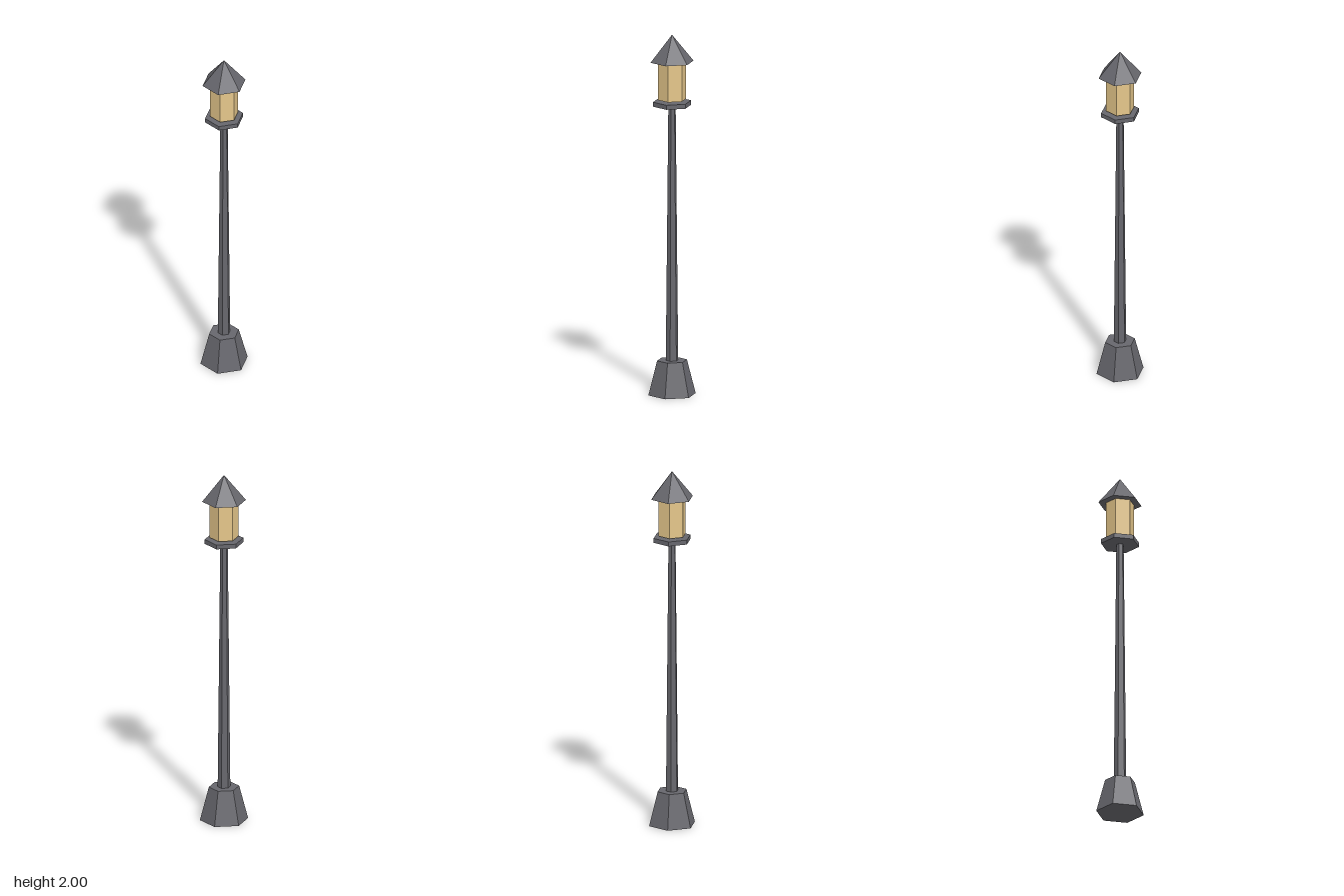
import * as THREE from 'three';

const iron = new THREE.MeshStandardMaterial({ color: 0x67676d, flatShading: true });
iron.name = 'darkIron';
const glass = new THREE.MeshStandardMaterial({ color: 0xe4c68a, flatShading: true });
glass.name = 'warmGlass';

// Six-sided tapered prism standing between two heights, corners on the x axis
function hexPrism(name, rBottom, rTop, y0, y1, material) {
  const geometry = rTop === 0
    ? new THREE.ConeGeometry(rBottom, y1 - y0, 6, 1, false, Math.PI / 6)
    : new THREE.CylinderGeometry(rTop, rBottom, y1 - y0, 6, 1, false, Math.PI / 6);
  const mesh = new THREE.Mesh(geometry, material);
  mesh.name = name;
  mesh.position.y = (y0 + y1) / 2;
  return mesh;
}

export function createModel() {
  const lamp = new THREE.Group();
  lamp.name = 'streetLamp';
  lamp.add(
    hexPrism('base', 0.132, 0.083, 0, 0.19, iron),
    hexPrism('pole', 0.035, 0.02, 0.15, 1.645, iron),
    hexPrism('lanternPlate', 0.106, 0.106, 1.605, 1.63, iron),
    hexPrism('lanternGlass', 0.078, 0.078, 1.64, 1.852, glass),
    hexPrism('roof', 0.12, 0, 1.85, 2, iron),
  );
  return lamp;
}
